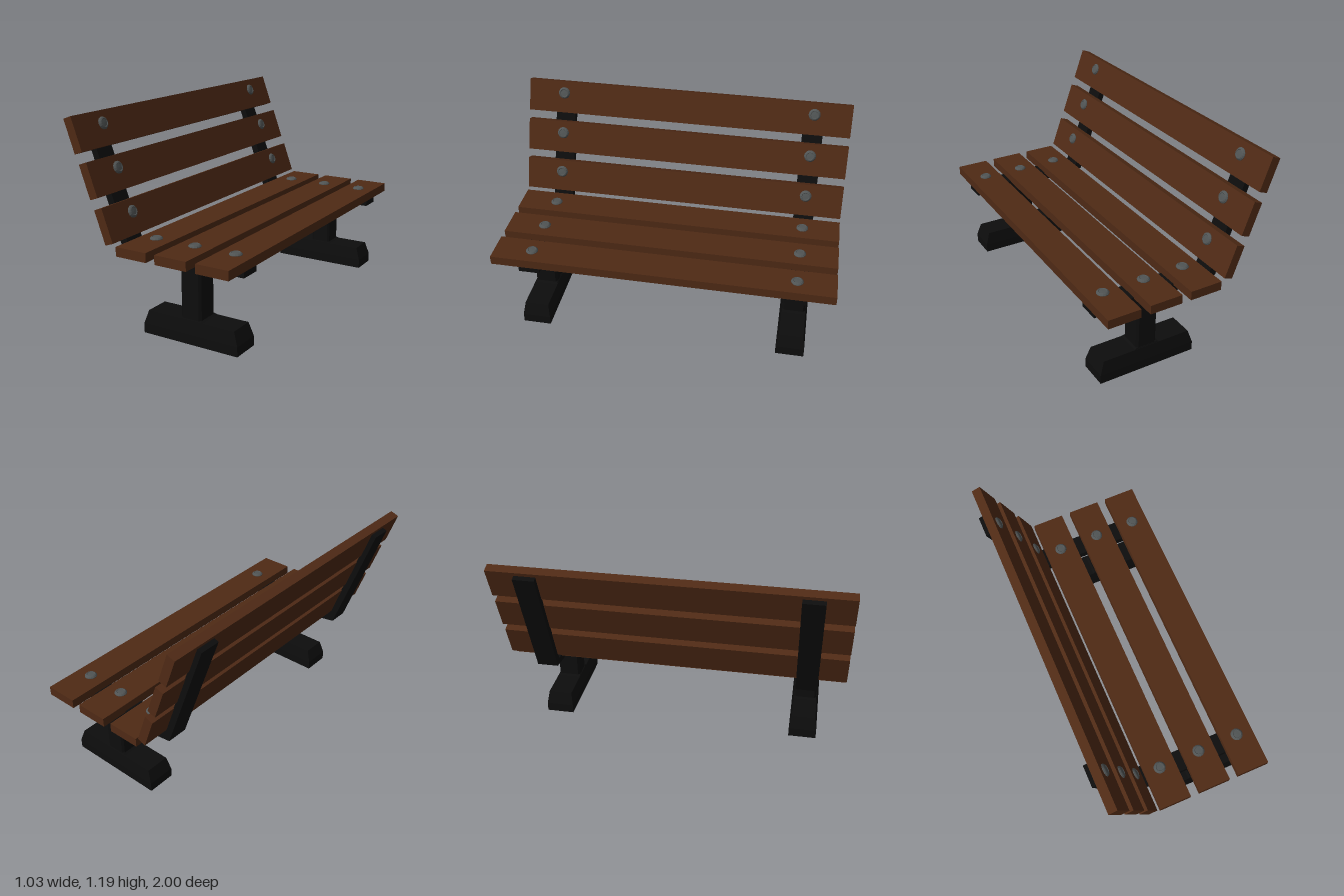
import * as THREE from 'three';

const wood = new THREE.MeshStandardMaterial({ color: 0x4f2a15, flatShading: true });
const iron = new THREE.MeshStandardMaterial({ color: 0x0d0d0d, flatShading: true });
const steel = new THREE.MeshStandardMaterial({ color: 0x505454, flatShading: true });

const LEG_Z = 0.776;
const SLAT_W = 0.195, SLAT_T = 0.053;
const TILT = THREE.MathUtils.degToRad(20);

function add(parent, name, geometry, material, x = 0, y = 0, z = 0) {
  const mesh = new THREE.Mesh(geometry, material);
  mesh.name = name;
  mesh.position.set(x, y, z);
  parent.add(mesh);
  return mesh;
}

// Shape in the x-y plane, extruded and centred on z
function plate(points, depth) {
  const shape = new THREE.Shape(points.map(([x, y]) => new THREE.Vector2(x, y)));
  return new THREE.ExtrudeGeometry(shape, { depth, bevelEnabled: false }).translate(0, 0, -depth / 2);
}

// Stacked rectangular sections: [y, half width in x, half width in z]
function stack(levels) {
  const rows = levels.length - 1;
  const geo = new THREE.BoxGeometry(2, rows, 2, 1, rows, 1);
  const p = geo.attributes.position;
  for (let i = 0; i < p.count; i++) {
    const [y, hx, hz] = levels[Math.round(p.getY(i) + rows / 2)];
    p.setXYZ(i, p.getX(i) * hx, y, p.getZ(i) * hz);
  }
  geo.computeVertexNormals();
  return geo;
}

// Low domed bolt head with a rim and a recessed centre, axis along y
const boltGeometry = new THREE.LatheGeometry(
  [[0.036, -0.004], [0.036, 0.003], [0.03, 0.01], [0.024, 0.013], [0.021, 0.01], [0, 0.011]]
    .map(([r, y]) => new THREE.Vector2(r, y)), 14);

// Slat with a bolt over each leg; local +y is its outer face
function makeSlat(name, x, y, angle, boltOffset) {
  const slat = new THREE.Group();
  slat.name = name;
  slat.position.set(x, y, 0);
  slat.rotation.z = angle;
  add(slat, 'plank', new THREE.BoxGeometry(SLAT_W, SLAT_T, 2), wood);
  for (const s of [-1, 1]) add(slat, 'bolt', boltGeometry, steel, boltOffset, SLAT_T / 2, s * LEG_Z);
  return slat;
}

function makeSupport(z) {
  const leg = new THREE.Group();
  leg.name = 'support';
  leg.position.z = z;

  // Bent bar carrying the seat and the backrest
  add(leg, 'bentBar', plate([
    [-0.265, 0.447], [-0.15, 0.43], [0.505, 0.429], [0.505, 0.474],
    [-0.226, 0.48], [-0.485, 1.152], [-0.517, 1.14],
  ], 0.124), iron);

  // Post with chamfered corners
  const hx = 0.063, hz = 0.068, c = 0.012;
  const post = plate([
    [-hx + c, -hz], [hx - c, -hz], [hx, -hz + c], [hx, hz - c],
    [hx - c, hz], [-hx + c, hz], [-hx, hz - c], [-hx, -hz + c],
  ], 0.32).rotateX(Math.PI / 2);
  add(leg, 'post', post, iron, 0.18, 0.285, 0);

  // Foot tapering towards its top, with a small weld collar
  add(leg, 'foot', stack([[0, 0.298, 0.084], [0.055, 0.298, 0.084], [0.132, 0.272, 0.072]]), iron, 0.18);
  add(leg, 'collar', stack([[0.13, 0.082, 0.071], [0.138, 0.064, 0.069]]), iron, 0.18);
  return leg;
}

export function createModel() {
  const bench = new THREE.Group();
  bench.name = 'bench';

  for (const s of [-1, 1]) bench.add(makeSupport(s * LEG_Z));

  // Seat slats
  for (const x of [-0.083, 0.168, 0.419]) bench.add(makeSlat('seatSlat', x, 0.496, 0, 0));

  // Backrest slats, leaning away from the seat
  for (const [x, y] of [[-0.257, 0.618], [-0.347, 0.853], [-0.438, 1.088]]) {
    bench.add(makeSlat('backSlat', x, y, TILT - Math.PI / 2, -0.026));
  }
  return bench;
}
